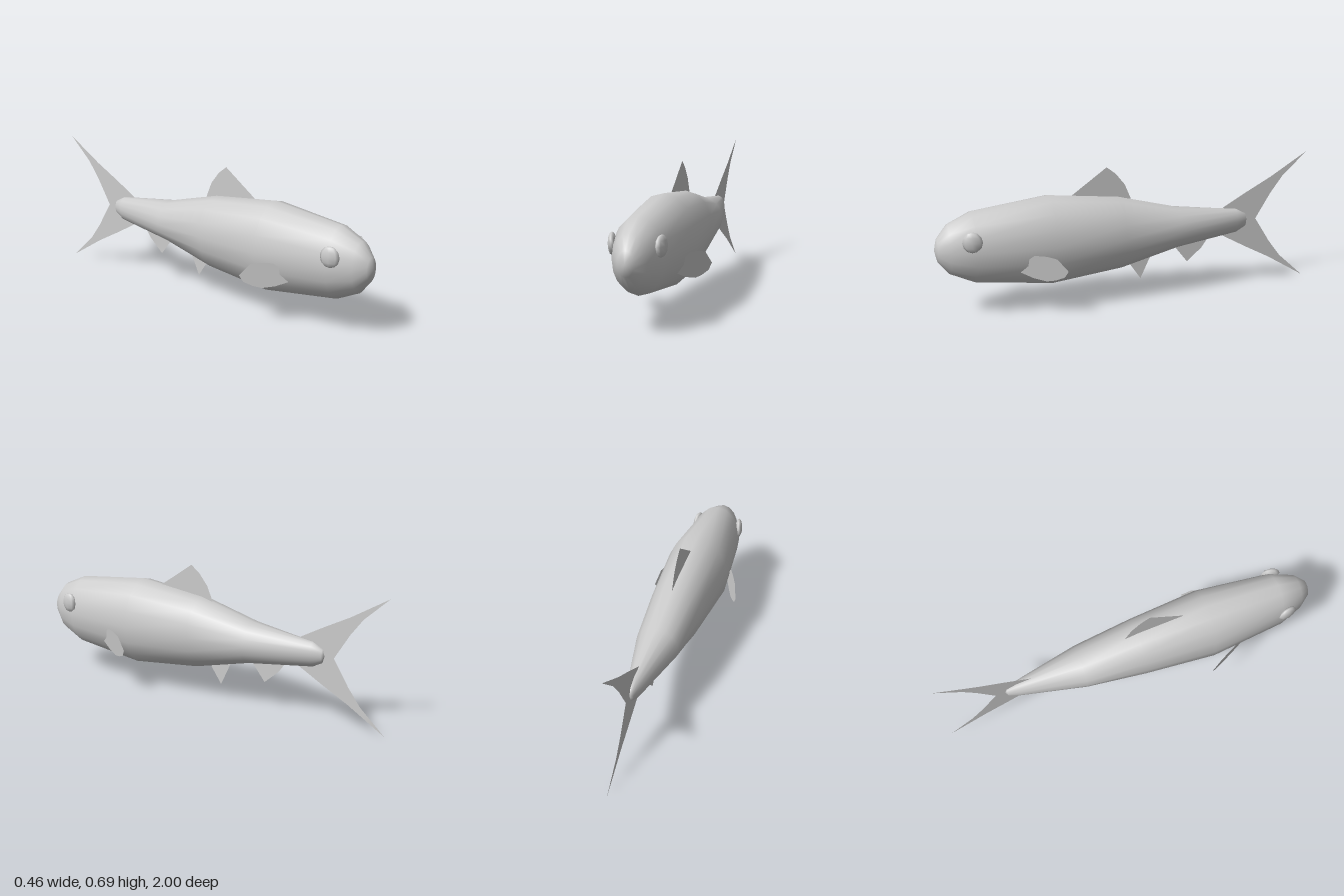
import * as THREE from 'three';
import { mergeVertices } from 'three/addons/utils/BufferGeometryUtils.js';

const MID = 0.35; // height of the body axis

// Flat fin in the z-y plane from a list of [z, y] points
function finGeometry(points) {
  const shape = new THREE.Shape(points.map(([z, y]) => new THREE.Vector2(z, y)));
  return new THREE.ShapeGeometry(shape).rotateY(-Math.PI / 2);
}

// Body: 16-sided elliptical sections [z, half height, half width], tail to nose
function bodyGeometry() {
  const sections = [
    [-0.665, 0, 0], [-0.655, 0.035, 0.018], [-0.6, 0.064, 0.035],
    [-0.26, 0.107, 0.111], [0.05, 0.188, 0.14], [0.42, 0.23, 0.167],
    [0.81, 0.183, 0.127], [0.93, 0.128, 0.083], [0.985, 0.06, 0.04], [1, 0, 0],
  ];
  let geo = new THREE.LatheGeometry(sections.map(([z, h]) => new THREE.Vector2(h, z)), 16);
  geo.rotateX(Math.PI / 2);
  const pos = geo.attributes.position;
  for (let i = 0; i < pos.count; i++) {
    const [, h, w] = sections[i % sections.length];
    pos.setX(i, h ? pos.getX(i) * w / h : 0);
  }
  geo.deleteAttribute('uv');
  geo.deleteAttribute('normal');
  geo = mergeVertices(geo, 1e-5);
  geo.computeVertexNormals();
  return geo.translate(0, MID, 0);
}

export function createModel() {
  const fish = new THREE.Group();
  fish.name = 'fish';
  const grey = new THREE.MeshStandardMaterial({ color: 0xcccccc, side: THREE.DoubleSide });
  grey.name = 'grey';
  const add = (name, geometry) => {
    const mesh = new THREE.Mesh(geometry, grey);
    mesh.name = name;
    fish.add(mesh);
    return mesh;
  };

  add('body', bodyGeometry());

  // Forked tail: upper lobe mirrored about the body axis
  const lobe = [
    [-0.5, 0.405], [-0.53, 0.428], [-0.66, 0.5], [-0.797, 0.572],
    [-1, 0.695], [-0.866, 0.572], [-0.8, 0.485], [-0.716, MID],
  ];
  const lower = lobe.slice(0, -1).reverse().map(([z, y]) => [z, 2 * MID - y]);
  add('tailFin', finGeometry([...lobe, ...lower]));

  // Fins on the centre line
  add('dorsalFin', finGeometry([
    [0.3, 0.55], [0.294, 0.568], [0.112, 0.697], [0.064, 0.66],
    [0.016, 0.6], [-0.016, 0.525], [0, 0.5],
  ]));
  add('pelvicFin', finGeometry([[-0.005, 0.19], [-0.012, 0.17], [-0.07, 0.086], [-0.128, 0.21], [-0.1, 0.24]]));
  add('analFin', finGeometry([
    [-0.25, 0.26], [-0.26, 0.238], [-0.33, 0.15], [-0.41, 0.22], [-0.45, 0.275],
  ]));

  for (const [side, s] of [['left', 1], ['right', -1]]) {
    // Side fin: flat outline slanted outward towards the tail
    const fin = finGeometry([
      [0.604, 0.235], [0.575, 0.29], [0.535, 0.324], [0.48, 0.322], [0.433, 0.31],
      [0.382, 0.247], [0.4, 0.214], [0.44, 0.197], [0.48, 0.19], [0.54, 0.205],
    ]);
    const pos = fin.attributes.position;
    for (let i = 0; i < pos.count; i++) {
      pos.setX(i, s * (0.42 - 0.5 * pos.getZ(i) + 0.1 * (pos.getY(i) - 0.25)));
    }
    fin.computeVertexNormals();
    add(side + 'PectoralFin', fin);

    // Eye: flattened low-poly sphere turned to follow the head
    const eye = add(side + 'Eye', new THREE.SphereGeometry(1, 8, 6));
    eye.scale.set(0.02, 0.053, 0.05);
    eye.rotation.y = -s * 0.2;
    eye.position.set(s * 0.117, 0.408, 0.83);
  }
  return fish;
}
